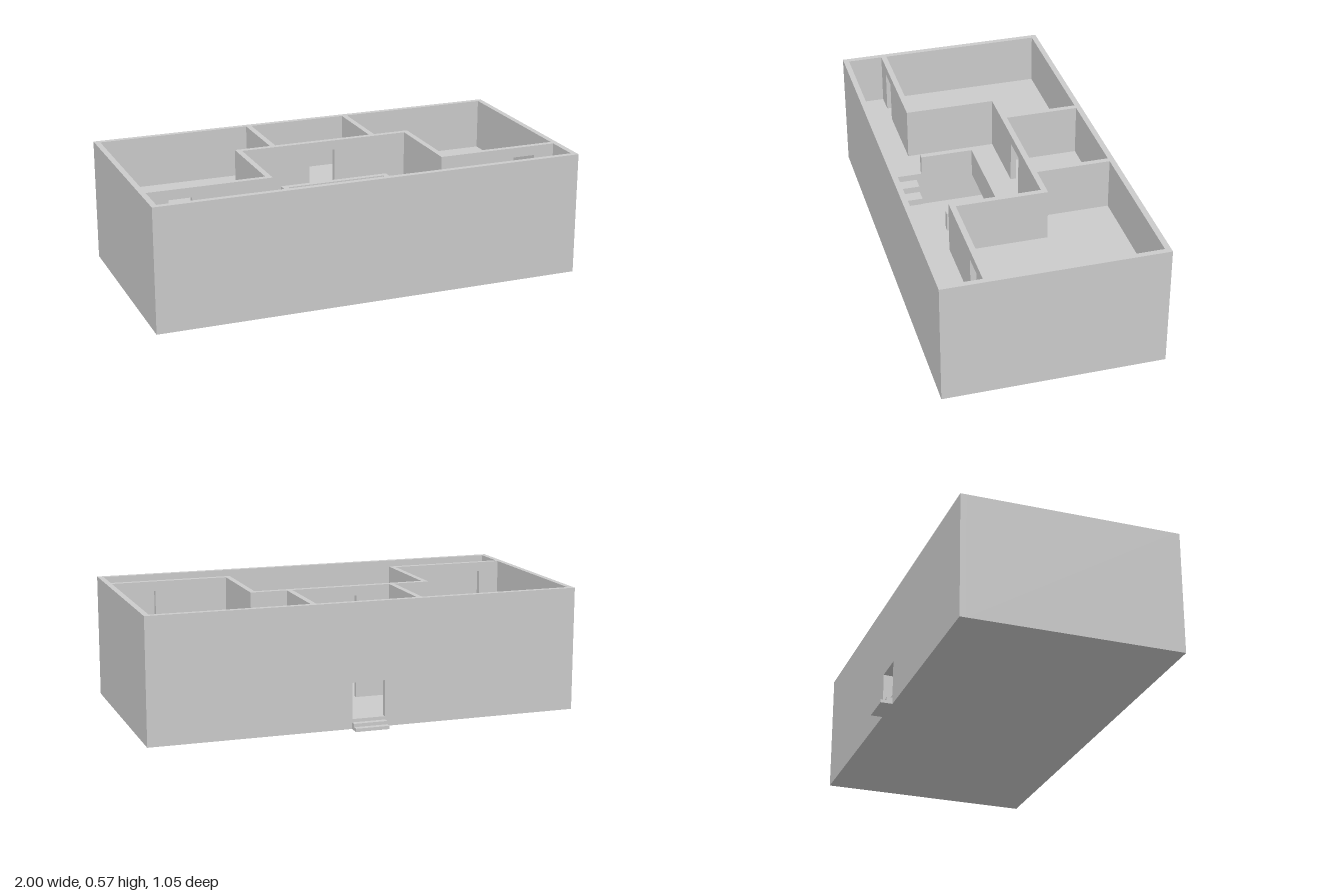
import * as THREE from 'three';

const material = new THREE.MeshStandardMaterial({ color: 0xcccccc, flatShading: true });

// Levels and shared plan lines
const GROUND = 0.045, CEILING = 0.285, UPPER = 0.33, TOP = 0.57;
const BACK = -0.475, FRONT = 0.525, T = 0.026;

function box(parent, name, [x0, x1], [y0, y1], [z0, z1]) {
  const geometry = new THREE.BoxGeometry(x1 - x0, y1 - y0, z1 - z0);
  geometry.translate((x0 + x1) / 2, (y0 + y1) / 2, (z0 + z1) / 2);
  const mesh = new THREE.Mesh(geometry, material);
  mesh.name = name;
  parent.add(mesh);
  return mesh;
}

function rect(target, x0, x1, y0, y1) {
  target.moveTo(x0, y0);
  target.lineTo(x1, y0);
  target.lineTo(x1, y1);
  target.lineTo(x0, y1);
  target.closePath();
  return target;
}

// Wall running along x, with an optional door notch reaching its foot
function doorWall(parent, name, [x0, x1], [y0, y1], [z0, z1], door) {
  const s = new THREE.Shape();
  s.moveTo(x0, y0);
  if (door) {
    const sill = door.sill ?? y0;
    if (sill > y0) {
      s.holes.push(rect(new THREE.Path(), door.x0, door.x1, sill, door.top));
    } else {
      s.lineTo(door.x0, y0);
      s.lineTo(door.x0, door.top);
      s.lineTo(door.x1, door.top);
      s.lineTo(door.x1, y0);
    }
  }
  s.lineTo(x1, y0);
  s.lineTo(x1, y1);
  s.lineTo(x0, y1);
  s.closePath();
  const geometry = new THREE.ExtrudeGeometry(s, { depth: z1 - z0, bevelEnabled: false });
  geometry.translate(0, 0, z0);
  const mesh = new THREE.Mesh(geometry, material);
  mesh.name = name;
  parent.add(mesh);
}

// Partition walls of one storey
function storey(name, y0, y1, doorTop) {
  const group = new THREE.Group();
  group.name = name;
  const h = [y0, y1];
  for (const side of [-1, 1]) {
    const span = (a, b) => (side > 0 ? [a, b] : [-b, -a]);
    const [d0, d1] = span(0.77, 0.875);
    box(group, 'backRoomSideWall', span(0.234, 0.26), h, [BACK + T, -0.108]);
    box(group, 'hallSideWall', span(0.404, 0.43), h, [-0.082, 0.335]);
    doorWall(group, 'sideRoomFrontWall', span(0.43, 1 - T), h, [0.309, 0.335],
      { x0: d0, x1: d1, top: doorTop });
  }
  doorWall(group, 'hallBackWall', [-0.43, 0.43], h, [-0.108, -0.082],
    { x0: -0.075, x1: 0.05, top: doorTop });
  return group;
}

export function createModel() {
  const house = new THREE.Group();
  house.name = 'house';

  // Outer shell with the entrance in the back wall
  for (const side of [-1, 1]) {
    const x = side > 0 ? [1 - T, 1] : [-1, -1 + T];
    box(house, 'outerSideWall', x, [0, TOP], [BACK + T, FRONT - T]);
  }
  box(house, 'outerFrontWall', [-1, 1], [0, TOP], [FRONT - T, FRONT]);
  doorWall(house, 'entranceWall', [-1, 1], [0, TOP], [BACK, BACK + T],
    { x0: -0.078, x1: 0.075, sill: GROUND, top: 0.21 });

  // Entrance steps
  box(house, 'entranceStep', [-0.08, 0.077], [0, 0.03], [-0.502, BACK]);
  box(house, 'entranceStep', [-0.08, 0.077], [0, 0.015], [-0.53, -0.502]);

  // Ground floor, and upper floor with the stairwell opening
  box(house, 'groundFloor', [-1 + T, 1 - T], [0, GROUND], [BACK + T, FRONT - T]);
  const slab = rect(new THREE.Shape(), -1 + T, 1 - T, T - FRONT, -BACK - T);
  slab.holes.push(rect(new THREE.Path(), -0.234, 0.234, T - FRONT + 0.0005, -0.065));
  const floorGeometry = new THREE.ExtrudeGeometry(slab, { depth: UPPER - CEILING, bevelEnabled: false });
  floorGeometry.rotateX(-Math.PI / 2).translate(0, CEILING, 0);
  const upperFloor = new THREE.Mesh(floorGeometry, material);
  upperFloor.name = 'upperFloor';
  house.add(upperFloor);

  house.add(storey('groundStorey', GROUND, CEILING, 0.235));
  house.add(storey('upperStorey', UPPER, TOP, 0.525));

  // Low parapet around three sides of the stairwell
  const parapet = [UPPER, 0.42];
  box(house, 'parapetBack', [-0.26, 0.26], parapet, [0.039, 0.065]);
  box(house, 'parapetSide', [-0.26, -0.234], parapet, [0.065, 0.309]);
  box(house, 'parapetSide', [0.234, 0.26], parapet, [0.065, 0.309]);

  // Steps down from both sides to the middle landing
  const run = [0.335, FRONT - T];
  box(house, 'stairLanding', [-0.113, 0.113], [0.21, 0.24], run);
  for (const side of [-1, 1]) {
    [[0.113, 0.173, 0.27], [0.173, 0.234, 0.3]].forEach(([a, b, y]) =>
      box(house, 'stairStep', side > 0 ? [a, b] : [-b, -a], [0.21, y], run));
  }
  return house;
}
